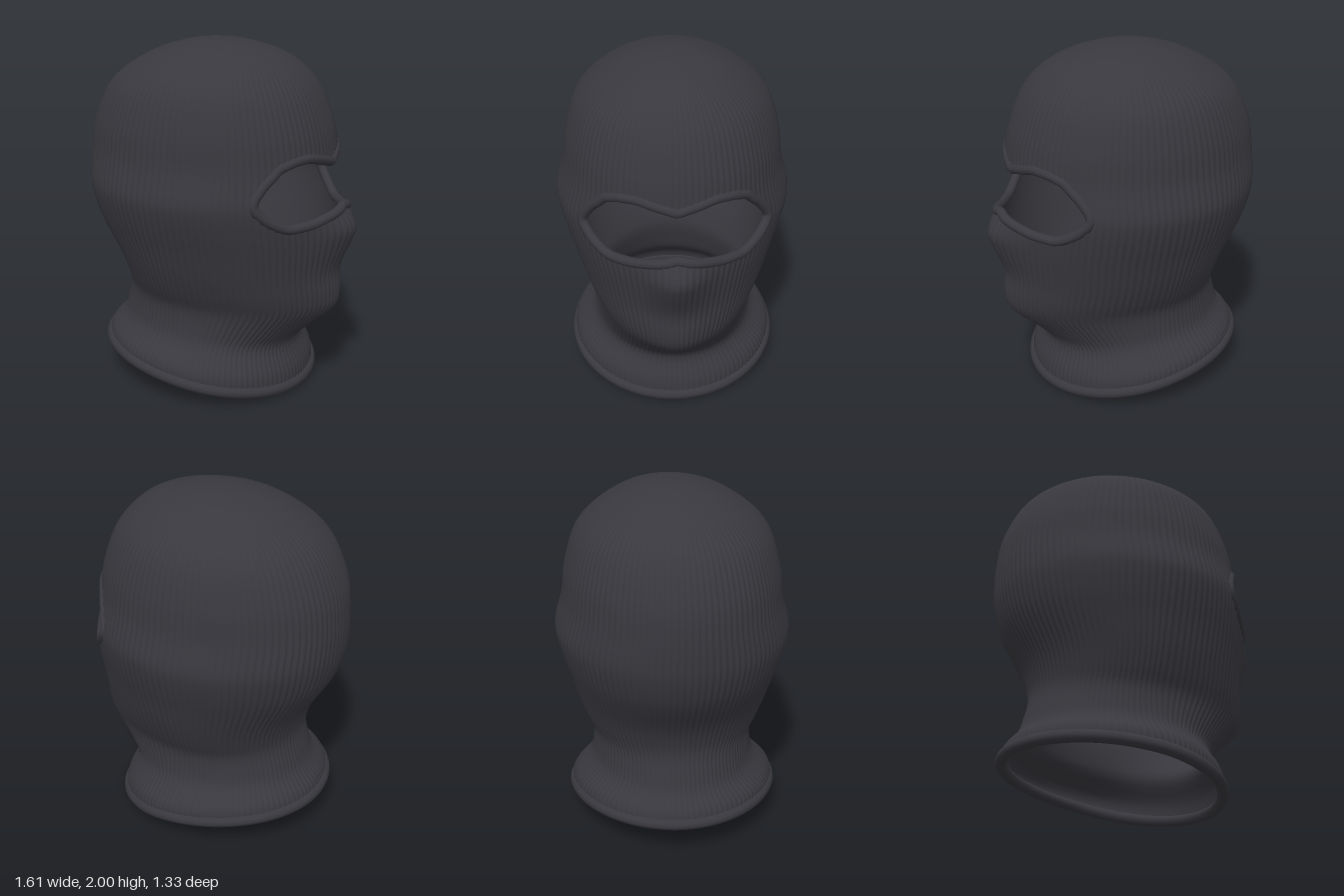
import * as THREE from 'three';
import { mergeVertices } from 'three/addons/utils/BufferGeometryUtils.js';

const XC = -0.05, SEAM = 1.2, RIBS = 110, WALL = 0.03;

// Tilted rings: t, back x, back y, front x, front y, half width, nose bulge
const RINGS = [
  [0.12, -0.715, 0.215, 0.515, 0.035, 0.595, 0],
  [0.20, -0.70, 0.28, 0.505, 0.13, 0.59, 0],
  [0.31, -0.63, 0.36, 0.455, 0.27, 0.49, 0],
  [0.415, -0.60, 0.45, 0.54, 0.38, 0.465, 0.01],
  [0.53, -0.575, 0.55, 0.66, 0.51, 0.465, 0.03],
  [0.61, -0.575, 0.62, 0.68, 0.60, 0.50, 0.03],
  [0.745, -0.615, 0.75, 0.675, 0.74, 0.55, 0.03],
  [0.92, -0.715, 0.92, 0.69, 0.92, 0.60, 0.085],
  [1.0, -0.755, 1.0, 0.69, 1.0, 0.625, 0.105],
  [1.12, -0.79, 1.12, 0.685, 1.12, 0.655, 0.045],
  [1.2, -0.80, 1.2, 0.675, 1.2, 0.662, 0.01],
  [1.36, -0.80, 1.36, 0.655, 1.36, 0.62, 0],
  [1.55, -0.77, 1.55, 0.62, 1.55, 0.595, 0],
  [1.76, -0.66, 1.76, 0.53, 1.76, 0.52, 0],
  [2.0, -0.44, 1.91, 0.37, 1.91, 0.34, 0],
  [2.26, -0.21, 1.985, 0.14, 1.985, 0.15, 0],
  [2.46, XC, 2.0, XC, 2.0, 0, 0],
];
const T0 = RINGS[0][0], T1 = RINGS[RINGS.length - 1][0];

// Edges of the eye opening: angle from the front, height
const UPPER = [[0, 1.36], [0.15, 1.385], [0.34, 1.415], [0.5, 1.41], [0.65, 1.385], [0.8, 1.3], [0.88, SEAM]];
const LOWER = [[0, 1.115], [0.2, 1.085], [0.4, 1.055], [0.62, 1.05], [0.79, 1.11], [0.88, SEAM]];

function edge(table, angle) {
  const a = Math.abs(Math.atan2(Math.sin(angle), Math.cos(angle)));
  for (let i = 1; i < table.length; i++) {
    const [a0, y0] = table[i - 1], [a1, y1] = table[i];
    if (a < a1) return y0 + (y1 - y0) * (a - a0) / (a1 - a0);
  }
  return SEAM;
}

// Smooth interpolation between rings
function ringAt(t) {
  let i = 0;
  while (i < RINGS.length - 2 && t > RINGS[i + 1][0]) i++;
  const a = RINGS[i], b = RINGS[i + 1], h = b[0] - a[0];
  const p = RINGS[Math.max(i - 1, 0)], n = RINGS[Math.min(i + 2, RINGS.length - 1)];
  const u = (t - a[0]) / h, u2 = u * u, u3 = u2 * u;
  return a.map((v, k) => {
    const ma = (b[k] - p[k]) / (b[0] - p[0]), mb = (n[k] - v) / (n[0] - a[0]);
    return v * (2 * u3 - 3 * u2 + 1) + b[k] * (3 * u2 - 2 * u3)
      + h * (ma * (u3 - 2 * u2 + u) + mb * (u3 - u2));
  });
}

// Point on the knitted surface, moved inward by inset
function surface(angle, t, inset = 0, ribbed = false) {
  const [, xb, yb, xf, yf, w, nose] = ringAt(t);
  const c = Math.cos(angle), s = Math.sin(angle);
  const a = Math.atan2(s, c);
  const rib = ribbed ? 1 + 0.006 * Math.cos(RIBS * angle) : 1;
  const reach = (c > 0 ? xf - XC : XC - xb) + nose * Math.exp(-((a / 0.28) ** 2));
  const y = yb + (yf - yb) * ((1 + c) / 2) ** 1.5;
  return new THREE.Vector3(
    XC + c * Math.max(reach * rib - inset, 0),
    y - inset * THREE.MathUtils.smoothstep(t, 1.4, 2.4),
    s * Math.max(w * rib - inset, 0));
}

// Shell of two bands that part around the eye opening
function shell(columns, inset, ribbed, inward) {
  const positions = [], index = [];
  const band = (rows, from, to) => {
    const base = positions.length / 3;
    for (let j = 0; j <= rows; j++) {
      for (let i = 0; i <= columns; i++) {
        const angle = (i % columns) / columns * Math.PI * 2;
        const t = j === rows ? to(angle) : from(angle) + (to(angle) - from(angle)) * j / rows;
        positions.push(...surface(angle, t, inset, ribbed).toArray());
      }
    }
    for (let j = 0; j < rows; j++) {
      for (let i = 0; i < columns; i++) {
        const a = base + j * (columns + 1) + i, b = a + 1, d = a + columns + 1, c = d + 1;
        if (inward) index.push(a, b, d, b, c, d);
        else index.push(a, d, b, b, d, c);
      }
    }
  };
  band(32, () => T0, (angle) => edge(LOWER, angle));
  band(28, (angle) => edge(UPPER, angle), () => T1);
  let geometry = new THREE.BufferGeometry();
  geometry.setAttribute('position', new THREE.Float32BufferAttribute(positions, 3));
  geometry.setIndex(index);
  geometry = mergeVertices(geometry, 1e-5);
  geometry.computeVertexNormals();
  return geometry;
}

function rim(points, radius, segments) {
  const path = new THREE.CatmullRomCurve3(points, true, 'centripetal');
  return new THREE.TubeGeometry(path, segments, radius, 10, true);
}

export function createModel() {
  const group = new THREE.Group();
  const knit = new THREE.MeshStandardMaterial({ color: 0x38383e });
  knit.name = 'charcoalKnit';
  const add = (name, geometry) => {
    const mesh = new THREE.Mesh(geometry, knit);
    mesh.name = name;
    group.add(mesh);
  };

  add('ribbedHood', shell(RIBS * 4, 0, true, false));
  add('hoodLining', shell(120, WALL, false, true));

  // Rolled hem of the neck
  const hem = [];
  for (let i = 0; i < 48; i++) hem.push(surface(i / 48 * Math.PI * 2, T0, 0.008));
  add('neckHem', rim(hem, 0.034, 144));

  // Rolled border of the eye opening, over the top and back below
  const border = [], end = 0.88, steps = 24;
  for (let i = 0; i < steps; i++) {
    const angle = -end + 2 * end * i / steps;
    border.push(surface(angle, edge(UPPER, angle), 0.012));
  }
  for (let i = 0; i < steps; i++) {
    const angle = end - 2 * end * i / steps;
    border.push(surface(angle, edge(LOWER, angle), 0.012));
  }
  add('eyeOpeningBorder', rim(border, 0.028, 160));

  return group;
}
